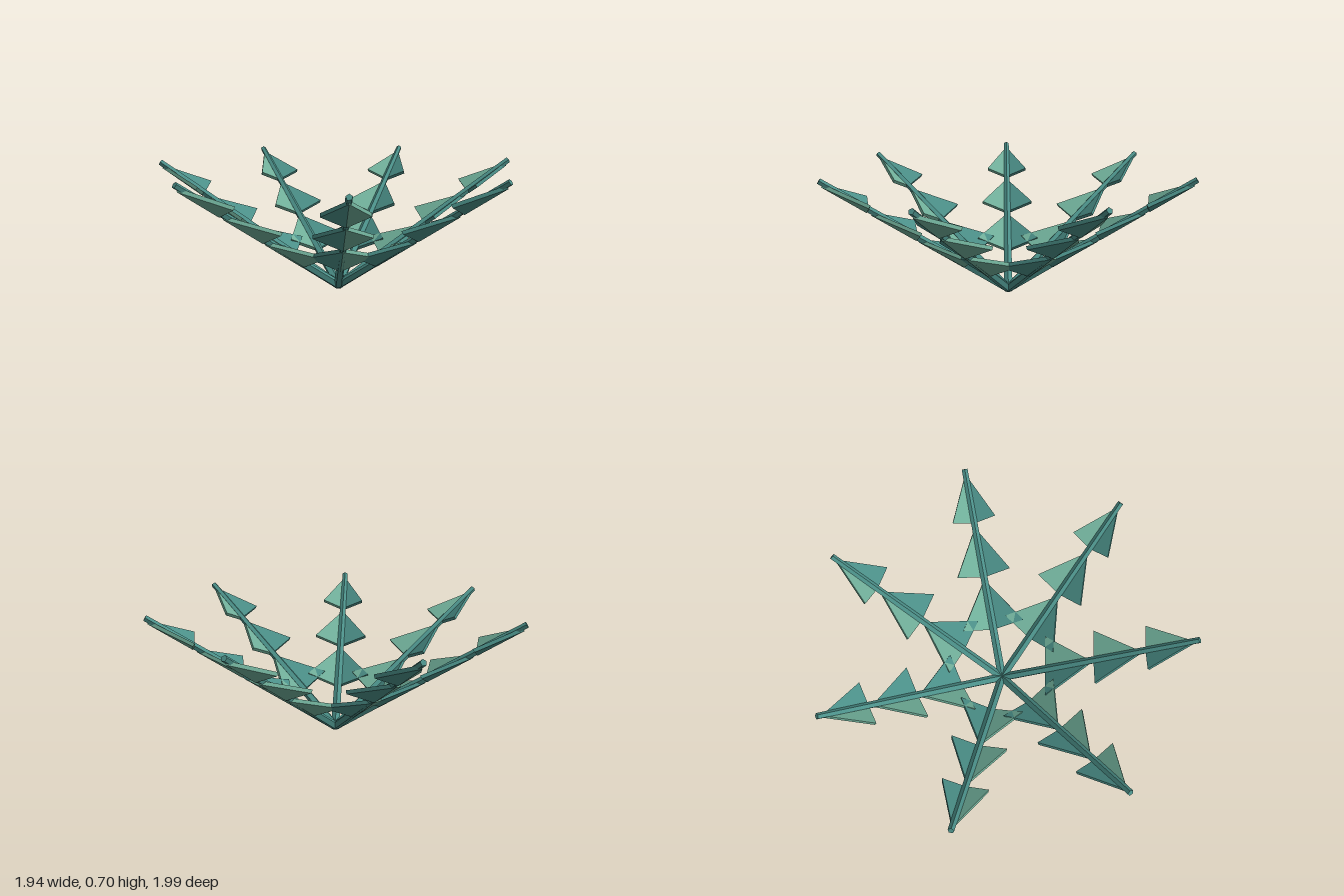
import * as THREE from 'three';
import { ConvexGeometry } from 'three/addons/geometries/ConvexGeometry.js';

const FRONDS = 7;
const CENTRE_X = -0.05;
const START = new THREE.Vector2(0, 0.021); // stem ends as (radius, height)
const END = new THREE.Vector2(1.013, 0.687);
const TILT = Math.atan2(END.y - START.y, END.x - START.x);
const LENGTH = START.distanceTo(END);

// Half of a folded triangular leaf; x runs along the stem, y is its upper side
function leafHalf(base, tip, width, side) {
  const low = -0.022, thick = 0.02;
  const outline = [
    [base, low, 0],
    [base + 0.22 * width, low + 0.37 * width, side * width],
    [tip, low, 0],
  ];
  const points = outline.flatMap(([x, y, z]) => [
    new THREE.Vector3(x, y, z),
    new THREE.Vector3(x, y + thick, z),
  ]);
  return new ConvexGeometry(points);
}

export function createModel() {
  const teal = new THREE.MeshStandardMaterial({ color: 0x4b8f88 });
  teal.name = 'teal';
  const green = new THREE.MeshStandardMaterial({ color: 0x6fad98 });
  green.name = 'sageGreen';

  // Tapered five-sided stem with a ridge on top
  const stemGeometry = new THREE.CylinderGeometry(0.017, 0.025, LENGTH, 5)
    .rotateY(-Math.PI / 2)
    .rotateZ(-Math.PI / 2)
    .translate(LENGTH / 2, 0, 0)
    .toNonIndexed();
  stemGeometry.computeVertexNormals();

  // Three leaves, smaller towards the tip: [base, tip, half width]
  const leaves = [
    [0.29, 0.585, 0.174],
    [0.6, 0.885, 0.15],
    [0.91, 1.185, 0.12],
  ].map(([base, tip, width]) => ({
    left: leafHalf(base, tip, width, -1),
    right: leafHalf(base, tip, width, 1),
  }));

  const model = new THREE.Group();
  model.name = 'fern';
  const add = (parent, name, geometry, material) => {
    const mesh = new THREE.Mesh(geometry, material);
    mesh.name = name;
    parent.add(mesh);
  };

  // Fronds fanned evenly around the root
  for (let i = 0; i < FRONDS; i++) {
    const frond = new THREE.Group();
    frond.name = 'frond';
    frond.position.set(CENTRE_X, START.y, 0);
    frond.rotation.set(0, (i / FRONDS) * Math.PI * 2, TILT);
    add(frond, 'stem', stemGeometry, teal);
    for (const { left, right } of leaves) {
      add(frond, 'leafLeftHalf', left, green);
      add(frond, 'leafRightHalf', right, teal);
    }
    model.add(frond);
  }
  return model;
}
